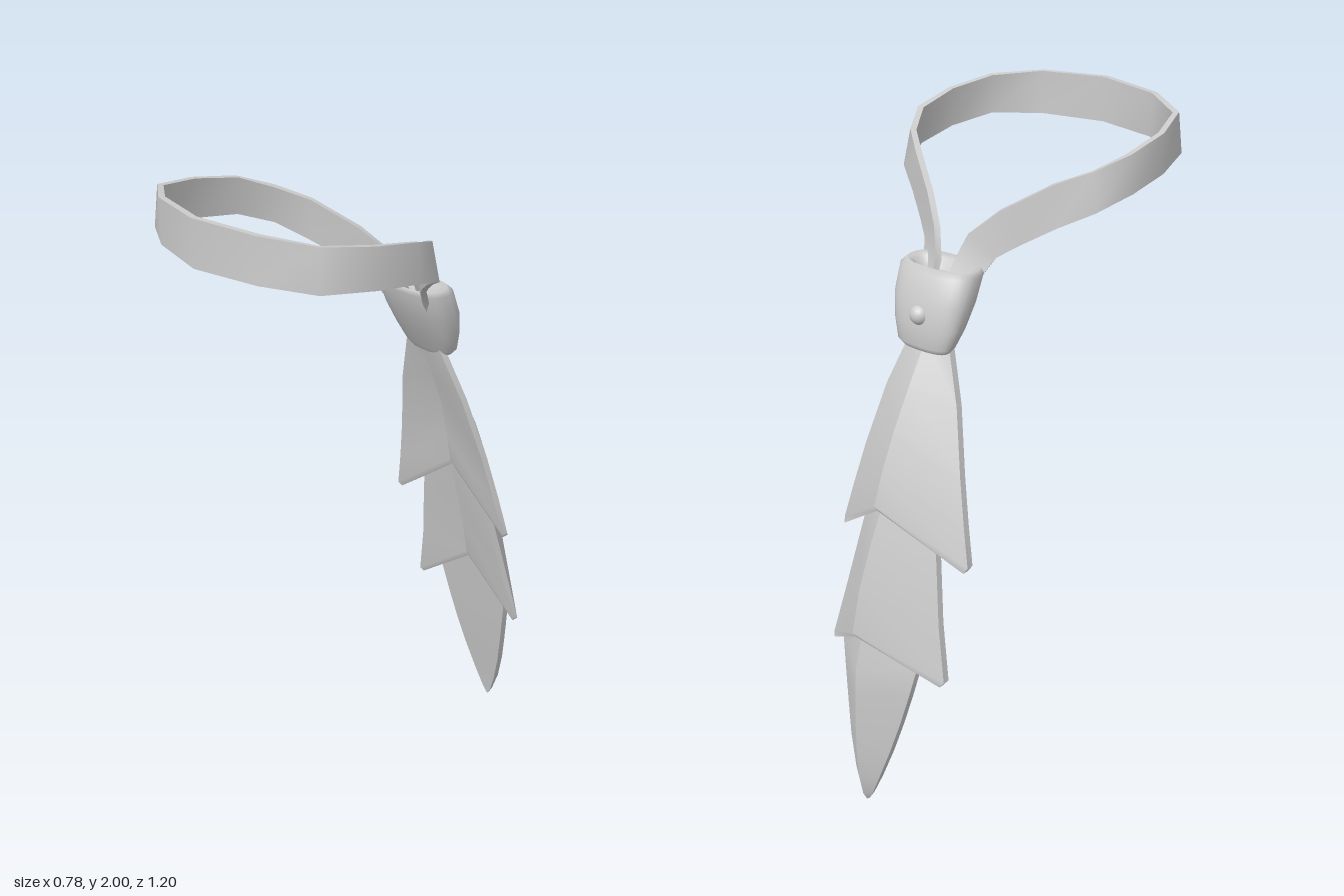
import * as THREE from 'three';

// Skin a list of closed rings (each counter-clockwise seen from the start).
// smooth shares vertices round the ring; otherwise lengthwise edges stay sharp.
function loft(rings, smooth = false) {
  const n = rings[0].length, pos = [], idx = [];
  const quad = (a, b, c, d) => idx.push(a, d, c, a, c, b);
  if (smooth) {
    rings.forEach(r => r.forEach(p => pos.push(...p)));
    for (let j = 0; j < rings.length - 1; j++)
      for (let i = 0; i < n; i++) {
        const k = (i + 1) % n;
        quad(j * n + i, j * n + k, (j + 1) * n + k, (j + 1) * n + i);
      }
  } else {
    for (let i = 0; i < n; i++) {
      const base = pos.length / 3;
      rings.forEach(r => pos.push(...r[i], ...r[(i + 1) % n]));
      for (let j = 0; j < rings.length - 1; j++) {
        const a = base + j * 2;
        quad(a, a + 1, a + 3, a + 2);
      }
    }
  }
  // end caps
  [rings[0], rings[rings.length - 1]].forEach((r, end) => {
    const b = pos.length / 3;
    r.forEach(p => pos.push(...p));
    for (let k = 0; k < n / 2 - 1; k++) {
      const q = [b + k, b + n - 1 - k, b + n - 2 - k, b + k + 1];
      if (end === 0) q.reverse();
      idx.push(q[0], q[1], q[2], q[0], q[2], q[3]);
    }
  });
  const g = new THREE.BufferGeometry();
  g.setAttribute('position', new THREE.Float32BufferAttribute(pos, 3));
  g.setIndex(idx);
  g.computeVertexNormals();
  return g;
}

// Leaf with a flat front and a ridged back.
// rows: [side y, centre y, half width, front z, ridge z]
function leaf(rows) {
  return loft(rows.map(([yw, yc, w, zf, zr]) => {
    const t = Math.min(0.022, w * 0.4);
    return [
      [-w, yw, zf], [0, yc, zf], [w, yw, zf],
      [w, yw, zf - t], [0, yc, zr], [-w, yw, zf - t],
    ];
  }));
}

// Neck strap from top-edge and bottom-edge points of its left half.
function strap() {
  const half = [
    [0, 2.0, 0.60, 0, 1.865, 0.60],
    [0.205, 1.995, 0.555, 0.205, 1.865, 0.555],
    [0.34, 1.98, 0.465, 0.35, 1.86, 0.475],
    [0.385, 1.96, 0.32, 0.39, 1.845, 0.32],
    [0.38, 1.935, 0.17, 0.39, 1.825, 0.17],
    [0.325, 1.90, 0.07, 0.345, 1.79, 0.06],
    [0.245, 1.865, 0.0, 0.26, 1.745, 0.0],
    [0.13, 1.79, -0.085, 0.18, 1.695, -0.06],
    [0.06, 1.72, -0.14, 0.13, 1.66, -0.10],
    [0.03, 1.64, -0.17, 0.105, 1.61, -0.135],
    [0.03, 1.56, -0.20, 0.09, 1.55, -0.18],
  ];
  const mirrored = half.slice(1).reverse().map(([a, b, c, d, e, f]) => [-a, b, c, -d, e, f]);
  const rows = [...mirrored, ...half].map(r => ({
    top: new THREE.Vector3(r[0], r[1], r[2]),
    low: new THREE.Vector3(r[3], r[4], r[5]),
  }));
  const mid = rows.map(r => r.top.clone().add(r.low).multiplyScalar(0.5));
  return loft(rows.map(({ top, low }, i) => {
    const dir = mid[Math.min(i + 1, mid.length - 1)].clone().sub(mid[Math.max(i - 1, 0)]);
    const inward = dir.cross(top.clone().sub(low)).normalize().multiplyScalar(-0.018);
    return [top, top.clone().add(inward), low.clone().add(inward), low].map(v => v.toArray());
  }));
}

// Knot from rounded rings: [y, centre z, x radius, z radius]
function knot() {
  const n = 32;
  const rows = [
    [1.60, -0.175, 0.07, 0.03],
    [1.628, -0.172, 0.098, 0.045],
    [1.64, -0.173, 0.116, 0.06],
    [1.625, -0.180, 0.13, 0.072],
    [1.55, -0.210, 0.126, 0.073],
    [1.48, -0.233, 0.113, 0.057],
    [1.425, -0.250, 0.094, 0.042],
    [1.408, -0.250, 0.078, 0.03],
  ];
  const bend = v => Math.sign(v) * Math.pow(Math.abs(v), 0.8);
  return loft(rows.map(([y, cz, rx, rz]) => Array.from({ length: n }, (_, i) => {
    const a = (i + 0.5) / n * Math.PI * 2;
    return [rx * bend(Math.cos(a)), y, cz - rz * bend(Math.sin(a))];
  })), true);
}

export function createModel() {
  const group = new THREE.Group();
  const cloth = new THREE.MeshStandardMaterial({ color: 0xcccccc });
  cloth.name = 'light grey cloth';
  const add = (name, geometry) => {
    const mesh = new THREE.Mesh(geometry, cloth);
    mesh.name = name;
    group.add(mesh);
    return mesh;
  };

  add('neckStrap', strap());
  add('knot', knot());
  const stud = add('knotStud', new THREE.SphereGeometry(0.03, 20, 14));
  stud.position.set(0, 1.515, -0.275);

  // three overlapping tail leaves, the upper two with a notched, bevelled hem
  add('upperLeaf', leaf([
    [1.43, 1.43, 0.07, -0.215, -0.255],
    [1.27, 1.32, 0.13, -0.255, -0.325],
    [1.08, 1.20, 0.178, -0.30, -0.397],
    [0.94, 1.09, 0.211, -0.325, -0.452],
    [0.825, 1.0, 0.238, -0.342, -0.487],
    [0.81, 0.98, 0.23, -0.352, -0.475],
  ]));
  add('middleLeaf', leaf([
    [1.05, 1.05, 0.10, -0.335, -0.42],
    [0.83, 0.89, 0.145, -0.37, -0.505],
    [0.64, 0.76, 0.18, -0.405, -0.562],
    [0.468, 0.63, 0.218, -0.43, -0.597],
    [0.455, 0.61, 0.21, -0.44, -0.585],
  ]));
  add('lowerLeaf', leaf([
    [0.70, 0.70, 0.13, -0.43, -0.53],
    [0.50, 0.50, 0.145, -0.465, -0.59],
    [0.40, 0.40, 0.125, -0.482, -0.598],
    [0.30, 0.30, 0.103, -0.50, -0.602],
    [0.20, 0.20, 0.078, -0.52, -0.602],
    [0.10, 0.10, 0.047, -0.54, -0.596],
    [0.03, 0.03, 0.02, -0.553, -0.582],
    [0.0, 0.0, 0.003, -0.558, -0.566],
  ]));
  return group;
}
